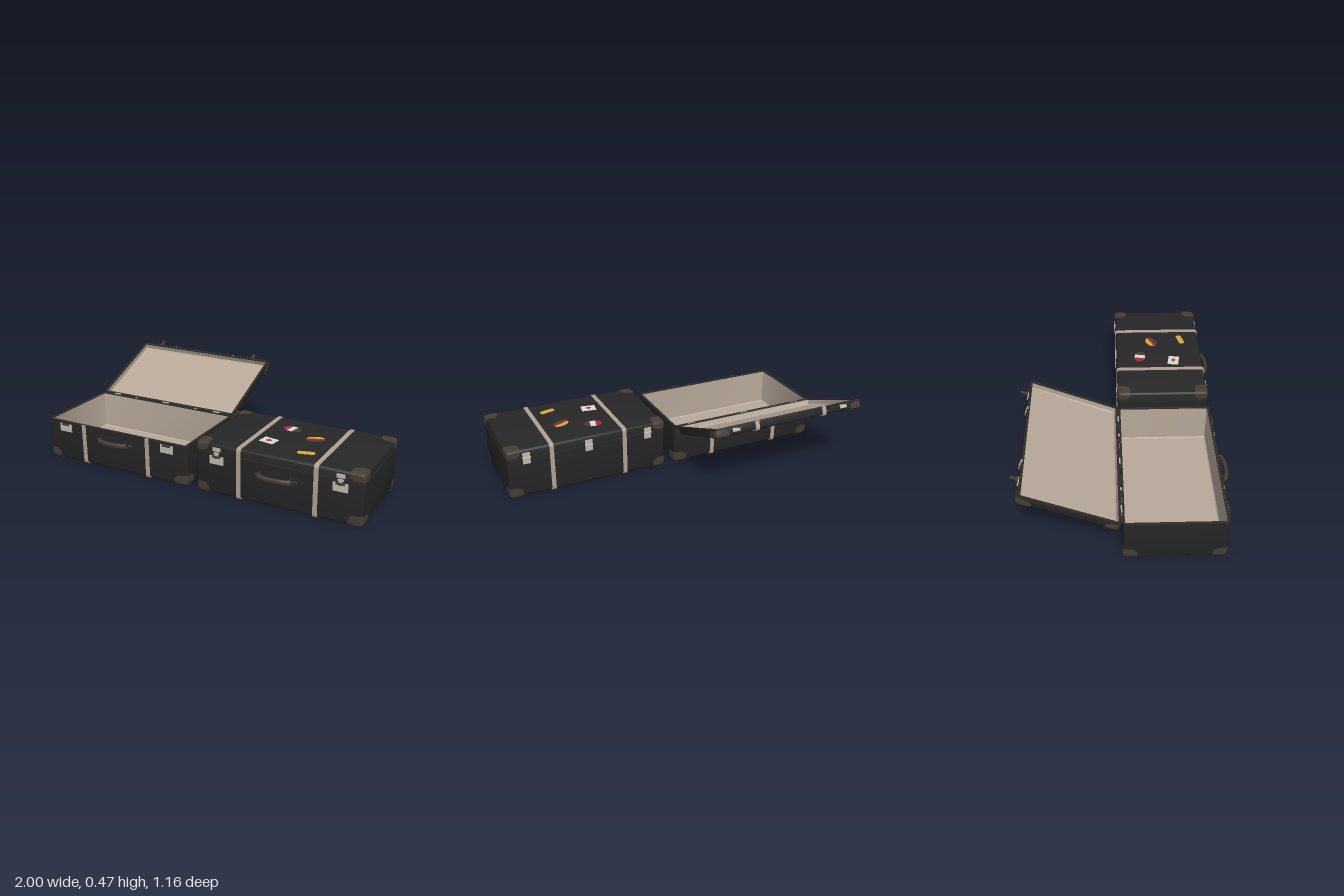
import * as THREE from 'three';
import { toCreasedNormals } from 'three/addons/utils/BufferGeometryUtils.js';

const W = 0.96, D = 0.545, BASE_H = 0.242, LID_H = 0.051, R = 0.018, WALL = 0.012;

function mat(name, color, side = THREE.FrontSide) {
  const m = new THREE.MeshStandardMaterial({ color, side });
  m.name = name;
  return m;
}

const leather = mat('black leather', 0x272727);
const lining = mat('beige lining', 0xb8a99a);
const strapMat = mat('strap canvas', 0xb0a294);
const metal = mat('pale metal', 0xc2bbb0);
const brown = mat('dark brown trim', 0x453e34, THREE.DoubleSide);
const rimMat = mat('rim', 0x302c27);
const red = mat('red', 0xb02438);
const yellow = mat('yellow', 0xd8ac38);
const white = mat('white', 0xdedad2);

function add(parent, name, geo, material, x = 0, y = 0, z = 0) {
  const m = new THREE.Mesh(geo, material);
  m.name = name;
  m.position.set(x, y, z);
  parent.add(m);
  return m;
}
const box = (parent, name, material, w, h, d, x, y, z) =>
  add(parent, name, new THREE.BoxGeometry(w, h, d), material, x, y, z);

// Loft of rounded rectangles; profile entries are [inset, y], a null inset closes to the centre
function loft(profile) {
  const SEG = 5, pos = [], idx = [], n = 4 * (SEG + 1);
  for (const [inset, y] of profile) {
    for (let q = 0; q < 4; q++) for (let s = 0; s <= SEG; s++) {
      if (inset === null) { pos.push(0, y, 0); continue; }
      const r = Math.max(R - inset, 0.004), a = (q + s / SEG) * Math.PI / 2;
      const sx = q === 0 || q === 3 ? 1 : -1, sz = q < 2 ? 1 : -1;
      pos.push(sx * (W / 2 - inset - r) + r * Math.cos(a), y, sz * (D / 2 - inset - r) + r * Math.sin(a));
    }
  }
  for (let i = 0; i < profile.length - 1; i++) for (let j = 0; j < n; j++) {
    const a = i * n + j, c = i * n + (j + 1) % n;
    idx.push(a, a + n, c, a + n, c + n, c);
  }
  const g = new THREE.BufferGeometry();
  g.setAttribute('position', new THREE.Float32BufferAttribute(pos, 3));
  g.setIndex(idx);
  return toCreasedNormals(g, 0.6);
}

// U-shaped strap wrapped round a tub
function strapGeometry(h) {
  const s = new THREE.Shape(), o = D / 2 + 0.005, i = D / 2 - 0.003, r = R + 0.004;
  s.moveTo(-o, h);
  s.lineTo(-o, r - 0.005);
  s.quadraticCurveTo(-o, -0.005, -o + r, -0.005);
  s.lineTo(o - r, -0.005);
  s.quadraticCurveTo(o, -0.005, o, r - 0.005);
  s.lineTo(o, h);
  s.lineTo(i, h);
  s.lineTo(i, R);
  s.quadraticCurveTo(i, 0.003, i - R, 0.003);
  s.lineTo(-i + R, 0.003);
  s.quadraticCurveTo(-i, 0.003, -i, R);
  s.lineTo(-i, h);
  s.closePath();
  const g = new THREE.ExtrudeGeometry(s, { depth: 0.025, bevelEnabled: false, curveSegments: 6 });
  return g.translate(0, 0, -0.0125).rotateY(-Math.PI / 2);
}

// Corner cap: a rounded triangular patch pushed out onto a soft box corner
function capGeometry(sx, sy, sz) {
  const g = new THREE.RingGeometry(0.001, 1, 36, 9), p = g.attributes.position;
  const e1 = new THREE.Vector3(2, -1, -1).normalize(), e2 = new THREE.Vector3(0, 1, -1).normalize().negate();
  e2.crossVectors(new THREE.Vector3(1, 1, 1).normalize(), e1);
  const sector = Math.PI * 2 / 3, size = new THREE.Vector3(sx, sy, sz);
  for (let i = 0; i < p.count; i++) {
    const rad = Math.hypot(p.getX(i), p.getY(i));
    const t = (Math.atan2(p.getY(i), p.getX(i)) + Math.PI * 2) % (Math.PI * 2);
    const lim = Math.min(1.2247 / Math.cos((t % sector) - sector / 2), 1.6) * rad;
    const d = new THREE.Vector3(1, 1, 1).addScaledVector(e1, lim * Math.cos(t)).addScaledVector(e2, lim * Math.sin(t));
    d.set(Math.max(d.x, 0), Math.max(d.y, 0), Math.max(d.z, 0));
    d.divideScalar(Math.pow(d.x ** 8 + d.y ** 8 + d.z ** 8, 1 / 8)).multiply(size).sub(size);
    p.setXYZ(i, d.x, d.y, d.z);
  }
  g.computeVertexNormals();
  return g;
}

// Open half of a case, standing on y = 0 with its rim at y = h
function tub(name, h, capH) {
  const g = new THREE.Group();
  g.name = name;
  const outer = [[null, 0]];
  for (let k = 0; k <= 5; k++) {
    const a = k / 5 * Math.PI / 2;
    outer.push([R * (1 - Math.sin(a)), R * (1 - Math.cos(a))]);
  }
  outer.push([0, h]);
  add(g, 'shell', loft(outer), leather);
  add(g, 'rim', loft([[0, h - 0.004], [-0.002, h - 0.004], [-0.002, h], [WALL, h], [WALL, h - 0.006]]), rimMat);
  add(g, 'lining', loft([[WALL, h - 0.006], [WALL, WALL + 0.006], [WALL + 0.006, WALL], [null, WALL]]), lining);
  const strap = strapGeometry(h), cap = capGeometry(0.08, capH, 0.08);
  for (const sx of [-1, 1]) {
    add(g, 'strap', strap, strapMat, sx * 0.222);
    for (const sz of [-1, 1]) {
      const c = add(g, 'cornerCap', cap, brown, sx * (W / 2 + 0.004), -0.004, sz * (D / 2 + 0.004));
      c.scale.set(sx, -1, sz);
      const stud = add(g, 'cornerStud', new THREE.SphereGeometry(0.02, 16, 8), brown, sx * (W / 2 - 0.035), -0.002, sz * (D / 2 - 0.035));
      stud.scale.y = 0.15;
    }
  }
  return g;
}

// Thin travel stickers lying on the lid top
function stickers(y) {
  const g = new THREE.Group();
  g.name = 'stickers';
  const patch = (name, x, z, turn) => {
    const s = new THREE.Group();
    s.name = name;
    s.position.set(x, y, z);
    s.rotation.y = turn;
    g.add(s);
    return s;
  };
  const half = (parent, name, m, x, z, rx, rz, start) =>
    add(parent, name, new THREE.CylinderGeometry(1, 1, 0.003, 20, 1, false, start, Math.PI), m, x, 0, z).scale.set(rx, 1, rz);
  const a = patch('bandedSticker', -0.083, 0.15, -0.2);
  half(a, 'redEnd', red, -0.016, 0, 0.036, 0.033, Math.PI);
  box(a, 'whiteBand', white, 0.034, 0.003, 0.066, 0.001, 0, 0);
  half(a, 'brownEnd', brown, 0.018, 0, 0.036, 0.033, 0);
  const b = patch('archedSticker', 0.09, 0.232, 0.4);
  half(b, 'yellowArch', yellow, 0, -0.006, 0.05, 0.027, Math.PI / 2);
  box(b, 'redBand', red, 0.1, 0.003, 0.016, 0, 0, 0.002);
  half(b, 'brownArch', brown, 0, 0.01, 0.05, 0.024, -Math.PI / 2);
  const c = patch('crossSticker', -0.13, 0.363, -0.16);
  box(c, 'whiteField', white, 0.088, 0.003, 0.068, 0, 0, 0);
  box(c, 'crossBar', red, 0.03, 0.003, 0.011, 0, 0.001, 0);
  box(c, 'crossPost', red, 0.011, 0.003, 0.03, 0, 0.001, 0);
  const d = patch('yellowSticker', 0.115, 0.426, 0.25);
  box(d, 'yellowStrip', yellow, 0.075, 0.003, 0.034, 0, 0, 0);
  half(d, 'yellowTip', yellow, 0.036, 0, 0.012, 0.017, 0);
  half(d, 'yellowTip', yellow, -0.036, 0, 0.012, 0.017, Math.PI);
  return g;
}

function handle() {
  const g = new THREE.Group();
  g.name = 'handle';
  const s = new THREE.Shape();
  s.moveTo(-0.145, 0);
  s.quadraticCurveTo(-0.12, 0.025, -0.08, 0.025);
  s.lineTo(0.08, 0.025);
  s.quadraticCurveTo(0.12, 0.025, 0.145, 0);
  s.quadraticCurveTo(0.12, -0.025, 0.08, -0.025);
  s.lineTo(-0.08, -0.025);
  s.quadraticCurveTo(-0.12, -0.025, -0.145, 0);
  add(g, 'handlePlate', new THREE.ExtrudeGeometry(s, { depth: 0.005, bevelEnabled: false }), leather);
  const path = new THREE.CatmullRomCurve3([[-0.088, 0.03], [-0.05, 0.041], [0, 0.044], [0.05, 0.041], [0.088, 0.03]]
    .map(([x, z]) => new THREE.Vector3(x, 0, z)));
  add(g, 'grip', new THREE.TubeGeometry(path, 20, 0.011, 10), brown).scale.y = 1.4;
  for (const x of [-0.088, 0.088]) {
    const end = add(g, 'gripEnd', new THREE.SphereGeometry(0.011, 10, 8), brown, x, 0, 0.03);
    end.scale.y = 1.4;
    add(g, 'handleRing', new THREE.TorusGeometry(0.019, 0.003, 8, 20).rotateY(Math.PI / 2), brown, x, 0, 0.017);
    box(g, 'ringTab', brown, 0.03, 0.014, 0.007, x + Math.sign(x) * 0.018, 0, 0.004);
  }
  return g;
}

function suitcase(name, open) {
  const g = new THREE.Group();
  g.name = name;
  const base = tub('base', BASE_H, 0.065);
  base.position.set(0, 0.005, 0.2525);
  g.add(base);
  const front = 0.525, back = -0.02, seam = 0.005 + BASE_H;
  const h = handle();
  h.position.set(0, 0.18, front);
  g.add(h);

  // Lid swings about the seam at the back
  const lid = new THREE.Group();
  lid.name = 'lid';
  lid.position.set(0, seam + (open ? 0.003 : 0), back - (open ? 0.005 : 0));
  lid.rotation.x = open ? -THREE.MathUtils.degToRad(157.5) : 0;
  g.add(lid);
  const top = tub('lidShell', LID_H, 0.045);
  top.rotation.z = Math.PI;
  top.position.set(0, LID_H, D / 2);
  lid.add(top);
  lid.add(stickers(LID_H + 0.0015));

  for (const s of [-1, 1]) {
    // Latch plate on the base
    const x = s * 0.355;
    box(g, 'latchPlate', metal, 0.082, 0.048, 0.006, x, 0.207, front + 0.003);
    box(g, 'latchBolt', brown, 0.05, 0.012, 0.007, x, 0.228, front + 0.007);
    // Hasp hinged on the lid, lying flat when closed
    box(lid, 'haspPlate', metal, 0.046, 0.022, 0.005, x, 0.022, D + 0.002);
    const hasp = new THREE.Group();
    hasp.name = 'hasp';
    hasp.position.set(x, 0.008, D + 0.005);
    hasp.rotation.x = open ? -Math.PI / 2 + 0.05 : 0;
    lid.add(hasp);
    const m = open ? brown : metal;
    box(hasp, 'haspTongue', m, 0.018, 0.045, 0.004, 0, -0.023, 0.001);
    box(hasp, 'haspCross', m, 0.032, 0.01, 0.005, 0, -0.008, 0.001);
    add(hasp, 'haspKnob', new THREE.CylinderGeometry(0.008, 0.008, 0.006, 12).rotateX(Math.PI / 2), brown, 0, -0.03, 0.003);
  }

  // Hinges along the back
  for (const x of [-0.37, 0, 0.37]) {
    box(g, 'hingeLeaf', metal, 0.044, 0.034, 0.005, x, seam - 0.02, back - 0.002);
    box(lid, 'hingeLeaf', metal, 0.044, 0.03, 0.005, x, 0.018, -0.002);
    add(g, 'hingePin', new THREE.CylinderGeometry(0.005, 0.005, 0.048, 10).rotateZ(Math.PI / 2), metal, x, seam, back - 0.004);
  }
  return g;
}

export function createModel() {
  const model = new THREE.Group();
  model.name = 'suitcases';
  const openCase = suitcase('openSuitcase', true);
  openCase.position.x = -0.515;
  const closedCase = suitcase('closedSuitcase', false);
  closedCase.position.x = 0.515;
  model.add(openCase, closedCase);
  return model;
}
